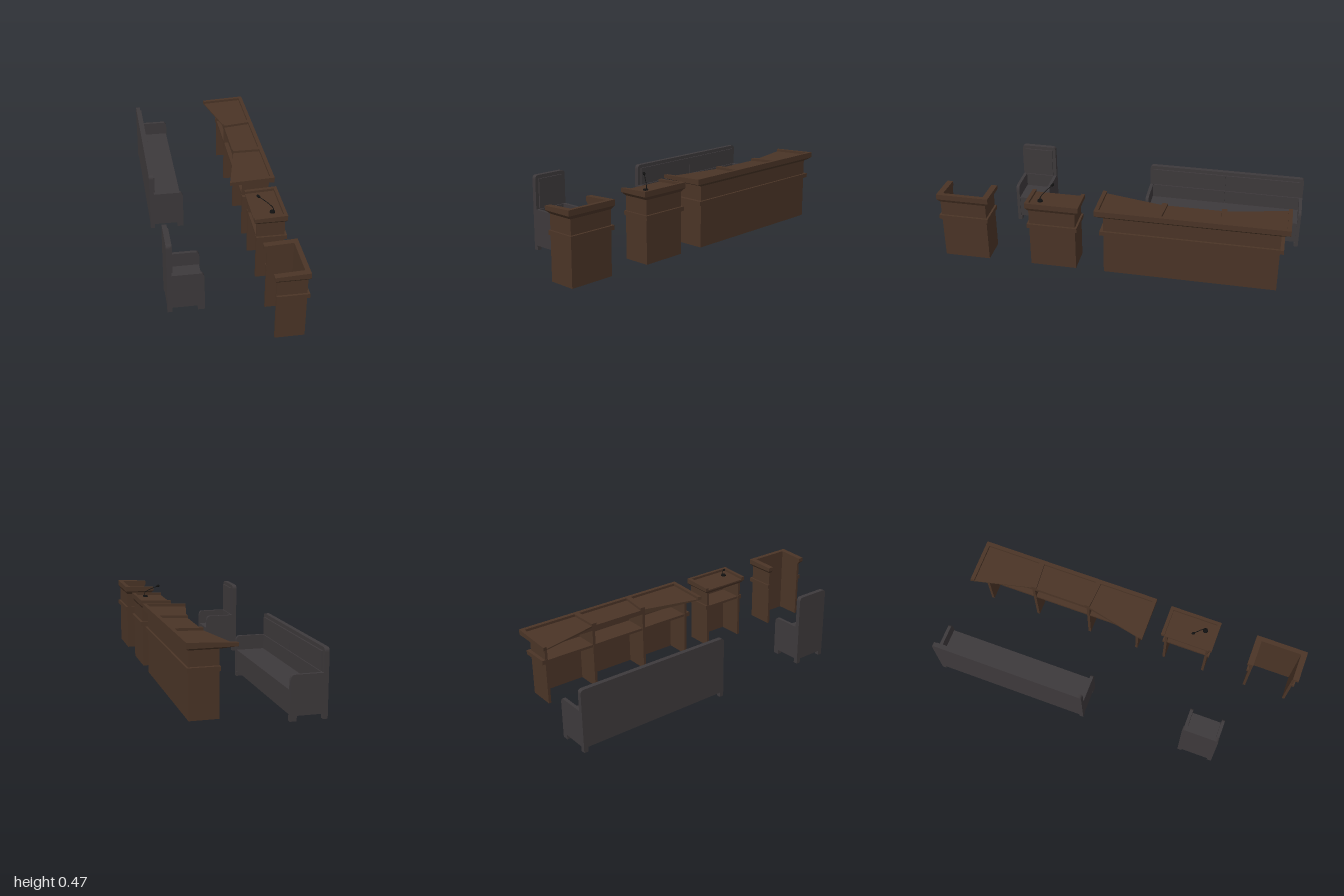
import * as THREE from 'three';

const wood = new THREE.MeshStandardMaterial({ color: 0x4a3426 });
const fabric = new THREE.MeshStandardMaterial({ color: 0x3d393b });
const black = new THREE.MeshStandardMaterial({ color: 0x111111 });

function add(parent, name, geometry, material) {
  const mesh = new THREE.Mesh(geometry, material);
  mesh.name = name;
  parent.add(mesh);
  return mesh;
}

// Box given by its limits
function box(x0, x1, y0, y1, z0, z1) {
  return new THREE.BoxGeometry(x1 - x0, y1 - y0, z1 - z0)
    .translate((x0 + x1) / 2, (y0 + y1) / 2, (z0 + z1) / 2);
}

// Solid between two [x, z] plans; heights are numbers or functions of x
function loft(planA, yA, planB, yB) {
  const flip = THREE.ShapeUtils.area(planA.map(p => new THREE.Vector2(...p))) < 0;
  const ring = (plan, y) => (flip ? [...plan].reverse() : plan)
    .map(([x, z]) => [x, typeof y === 'function' ? y(x) : y, z]);
  const a = ring(planA, yA), b = ring(planB, yB), n = a.length, out = [];
  for (let i = 0; i < n; i++) {
    const j = (i + 1) % n;
    out.push(...a[i], ...b[i], ...a[j], ...a[j], ...b[i], ...b[j]);
  }
  const tris = r => THREE.ShapeUtils.triangulateShape(r.map(p => new THREE.Vector2(p[0], p[2])), []);
  for (const [i, j, k] of tris(a)) out.push(...a[i], ...a[j], ...a[k]);
  for (const [i, j, k] of tris(b)) out.push(...b[i], ...b[k], ...b[j]);
  const g = new THREE.BufferGeometry();
  g.setAttribute('position', new THREE.Float32BufferAttribute(out, 3));
  g.computeVertexNormals();
  return g;
}

// Plans: rectangle, and a U shape open towards -x
const rect = (x0, x1, z0, z1) => [[x0, z0], [x1, z0], [x1, z1], [x0, z1]];
const uPlan = (x0, x1, z0, z1, xi, zi0, zi1) =>
  [[x0, z0], [x1, z0], [x1, z1], [x0, z1], [x0, zi1], [xi, zi1], [xi, zi0], [x0, zi0]];

// Sloping heights of rim and worktop
const rimY = x => 0.394 + (x - 0.09) * 0.047;
const workY = x => rimY(x) - 0.014;

const BX0 = 0.17, BX1 = 0.323, T = 0.015;

// Three-sided panel body with a belt moulding
function panelBody(g, z0, z1, out) {
  const xi = BX1 - T, a = z0 + T, b = z1 - T;
  const body = uPlan(BX0, BX1, z0, z1, xi, a, b);
  add(g, 'panels', loft(body, 0.01, body, 0.357), wood);
  const belt = uPlan(0.168, 0.335, z0 - out, z1 + out, xi, a, b);
  add(g, 'belt', loft(belt, 0.252, belt, 0.276), wood);
  return body;
}

function addShelf(g, z0, z1) {
  add(g, 'shelf', box(BX0 + 0.002, BX1 - T, 0.256, 0.27, z0 + T, z1 - T), wood);
}

// Open stand: three walls with a rail on top
function makeStand() {
  const g = new THREE.Group();
  g.name = 'openStand';
  const z0 = 0.723, z1 = 0.982;
  const body = panelBody(g, z0, z1, 0.011);
  const cap = uPlan(0.155, 0.333, 0.704, 1.0, BX1 - T, z0 + T, z1 - T);
  add(g, 'cornice', loft(body, 0.357, cap, 0.375), wood);
  add(g, 'rail', loft(cap, 0.375, cap, rimY), wood);
  return g;
}

// Lectern with a rimmed worktop, shelf and microphone
function makeLectern() {
  const g = new THREE.Group();
  g.name = 'lectern';
  const z0 = 0.216, z1 = 0.476, c0 = 0.195, c1 = 0.495;
  panelBody(g, z0, z1, 0.011);
  addShelf(g, z0, z1);
  const cap = rect(0.155, 0.333, c0, c1);
  add(g, 'cornice', loft(rect(BX0, BX1, z0, z1), 0.357, cap, 0.375), wood);
  add(g, 'worktop', loft(cap, 0.375, cap, workY), wood);
  const rim = uPlan(0.155, 0.333, c0, c1, 0.315, c0 + 0.02, c1 - 0.02);
  add(g, 'rim', loft(rim, workY, rim, rimY), wood);

  const mic = new THREE.Group();
  mic.name = 'microphone';
  g.add(mic);
  add(mic, 'micBase', new THREE.CylinderGeometry(0.013, 0.015, 0.01, 20).translate(0.264, 0.392, 0.423), black);
  const pts = [[0.268, 0.392, 0.423], [0.268, 0.412, 0.421], [0.25, 0.43, 0.408], [0.225, 0.445, 0.389], [0.2, 0.458, 0.37]]
    .map(p => new THREE.Vector3(...p));
  add(mic, 'gooseneck', new THREE.TubeGeometry(new THREE.CatmullRomCurve3(pts), 24, 0.002, 8), black);
  const head = add(mic, 'micHead', new THREE.CapsuleGeometry(0.007, 0.008, 6, 12), black);
  head.position.set(0.197, 0.46, 0.368);
  head.quaternion.setFromUnitVectors(new THREE.Vector3(0, 1, 0), pts[4].clone().sub(pts[3]).normalize());
  return g;
}

// Three-seat desk with flared wings
function makeDesk() {
  const g = new THREE.Group();
  g.name = 'longDesk';
  const mid = -0.42, z0 = mid - 0.477, z1 = mid + 0.477, c0 = mid - 0.525, c1 = mid + 0.525;
  const k0 = mid - 0.178, k1 = mid + 0.178;
  panelBody(g, z0, z1, 0.02);
  addShelf(g, z0, z1);
  const base = [[BX1, z0], [BX0, z0], [BX0, k0], [BX0, k1], [BX0, z1], [BX1, z1]];
  const cap = [[0.345, c0], [0.09, c0], [BX0, k0], [BX0, k1], [0.09, c1], [0.345, c1]];
  add(g, 'cornice', loft(base, 0.357, cap, 0.375), wood);
  add(g, 'worktop', loft(cap, 0.375, cap, workY), wood);
  const e = 0.022, xe = 0.09 + e * 0.232;
  const rim = [[0.345, c0], [0.09, c0], [xe, c0 + e], [0.323, c0 + e], [0.323, c1 - e], [xe, c1 - e], [0.09, c1], [0.345, c1]];
  add(g, 'rim', loft(rim, workY, rim, rimY), wood);
  // slanted bars and dividers between the bays
  for (const s of [-1, 1]) {
    const bar = [[BX0, mid + s * 0.178], [0.323, mid + s * 0.19], [0.323, mid + s * 0.16], [BX0, mid + s * 0.147]];
    add(g, 'bayBar', loft(bar, workY, bar, rimY), wood);
    const z = mid + s * 0.168;
    add(g, 'divider', box(BX0, BX1 - T, 0.01, 0.357, z - 0.008, z + 0.008), wood);
  }
  return g;
}

// Upholstered seat facing +x, for one or more places
function makeSeat(name, x, z0, z1, top, places) {
  const g = new THREE.Group();
  g.name = name;
  const depth = 0.195, arm = 0.018, front = x + depth, bx = x + 0.025;

  // back with rounded upper corners
  const r = 0.022, back = new THREE.Shape();
  back.moveTo(z0, 0.027).lineTo(z1, 0.027).lineTo(z1, top - r)
    .quadraticCurveTo(z1, top, z1 - r, top).lineTo(z0 + r, top)
    .quadraticCurveTo(z0, top, z0, top - r);
  add(g, 'back', new THREE.ExtrudeGeometry(back, { depth: 0.025, bevelEnabled: false, curveSegments: 6 })
    .rotateY(-Math.PI / 2).translate(bx, 0, 0), fabric);

  // arms with a rounded front corner
  const side = new THREE.Shape();
  side.moveTo(bx, 0.027).lineTo(front, 0.027).lineTo(front, 0.197)
    .bezierCurveTo(front, 0.218, front - 0.008, 0.232, front - 0.018, 0.232).lineTo(bx, 0.232);
  for (const z of [z0, z1 - arm])
    add(g, 'arm', new THREE.ExtrudeGeometry(side, { depth: arm, bevelEnabled: false, curveSegments: 6 })
      .translate(0, 0, z), fabric);

  // seat, front rail and back cushions
  const a = z0 + arm, b = z1 - arm, w = (b - a) / places;
  add(g, 'seat', box(bx, front - 0.004, 0.042, 0.152, a, b), fabric);
  add(g, 'frontRail', box(front - 0.02, front - 0.006, 0.027, 0.042, a, b), fabric);
  for (let i = 0; i < places; i++) {
    const p = a + i * w + 0.002, q = p + w - 0.004;
    add(g, 'lowerCushion', box(bx, bx + 0.008, 0.152, 0.232, p, q), fabric);
    add(g, 'upperCushion', box(bx, bx + 0.008, 0.236, top - 0.02, p, q), fabric);
  }

  // legs
  for (const z of [z0, z1 - 0.025]) {
    add(g, 'backLeg', box(x, bx, 0, 0.027, z, z + 0.025), fabric);
    add(g, 'frontLeg', box(front - 0.035, front, 0, 0.027, z, z + 0.025), fabric);
  }
  return g;
}

export function createModel() {
  const model = new THREE.Group();
  model.name = 'courtroomFurniture';
  model.add(
    makeDesk(), makeLectern(), makeStand(),
    makeSeat('chair', -0.335, 0.488, 0.693, 0.422, 1),
    makeSeat('bench', -0.347, -1.0, -0.094, 0.355, 2)
  );
  return model;
}
